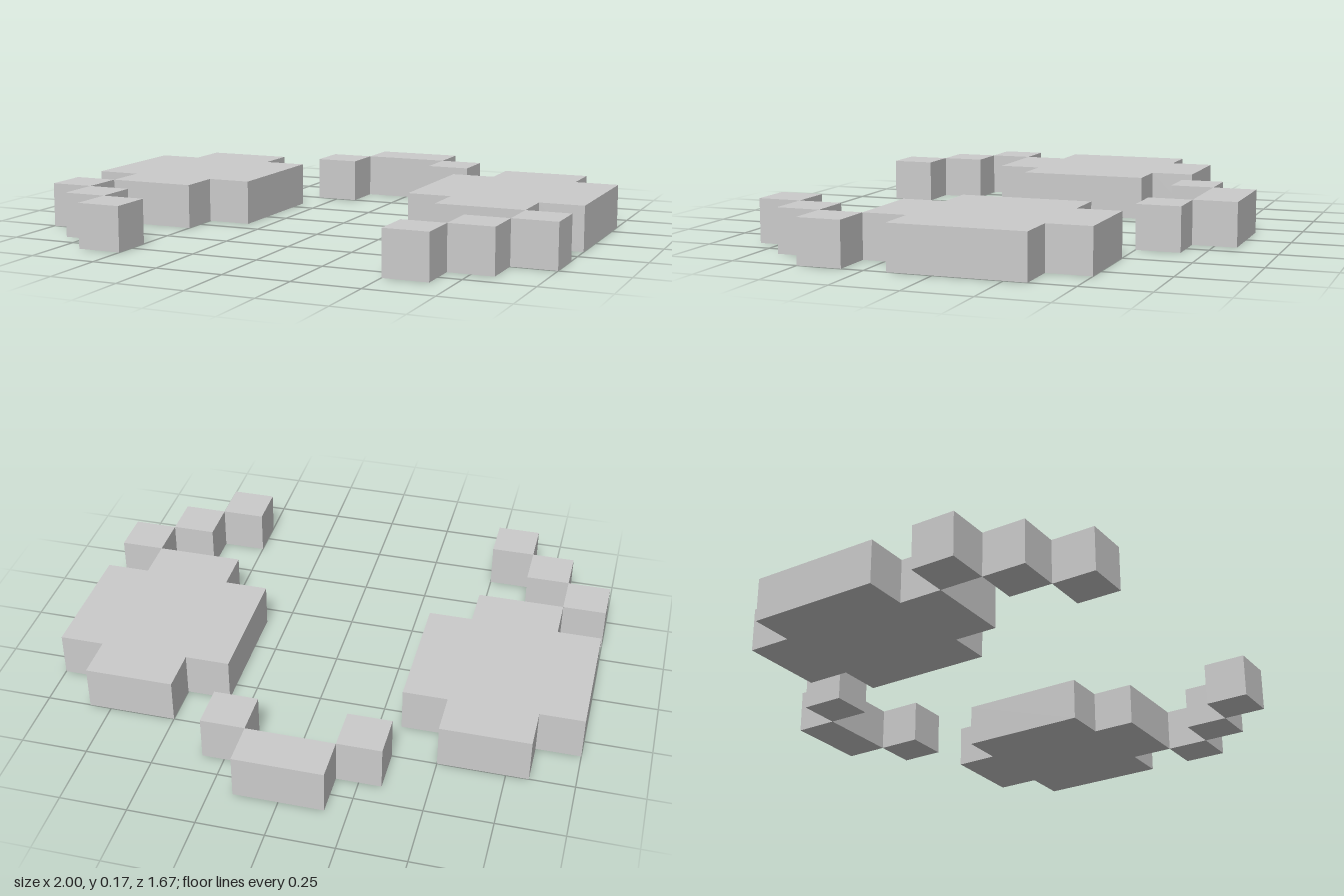
import * as THREE from 'three';

const U = 1 / 6; // one block
const material = new THREE.MeshStandardMaterial({ color: 0xcccccc, flatShading: true });

// Block with its minimum corner at (x, z) in block units, standing on the ground
function block(name, x, z, width = 1) {
  const mesh = new THREE.Mesh(new THREE.BoxGeometry(width * U, U, U), material);
  mesh.name = name;
  mesh.position.set((x + width / 2) * U, U / 2, (z + 0.5) * U);
  return mesh;
}

// Flat slab with one block notched out of each corner
function lens(name, side) {
  const corners = [
    [-1, -2.5], [1, -2.5], [1, -1.5], [2, -1.5], [2, 1.5], [1, 1.5],
    [1, 2.5], [-1, 2.5], [-1, 1.5], [-2, 1.5], [-2, -1.5], [-1, -1.5],
  ];
  const shape = new THREE.Shape(corners.map(([x, z]) => new THREE.Vector2(x * U, z * U)));
  const geometry = new THREE.ExtrudeGeometry(shape, { depth: U, bevelEnabled: false });
  geometry.rotateX(Math.PI / 2);
  const mesh = new THREE.Mesh(geometry, material);
  mesh.name = name;
  mesh.position.set(side * 4 * U, U, -0.5 * U);
  return mesh;
}

export function createModel() {
  const model = new THREE.Group();
  model.name = 'blockGlasses';

  // Bridge bar at the back
  model.add(block('bridge', -1, -5, 2));

  for (const [label, side] of [['left', 1], ['right', -1]]) {
    const column = (x) => (side > 0 ? x : -x - 1);
    model.add(lens(label + 'Lens', side));
    model.add(block(label + 'BridgeEnd', column(1), -4));

    // Stepped arm curling inward toward the front
    const arm = new THREE.Group();
    arm.name = label + 'Arm';
    for (let i = 0; i < 3; i++) arm.add(block('armBlock' + (i + 1), column(5 - i), 2 + i));
    model.add(arm);
  }
  return model;
}
